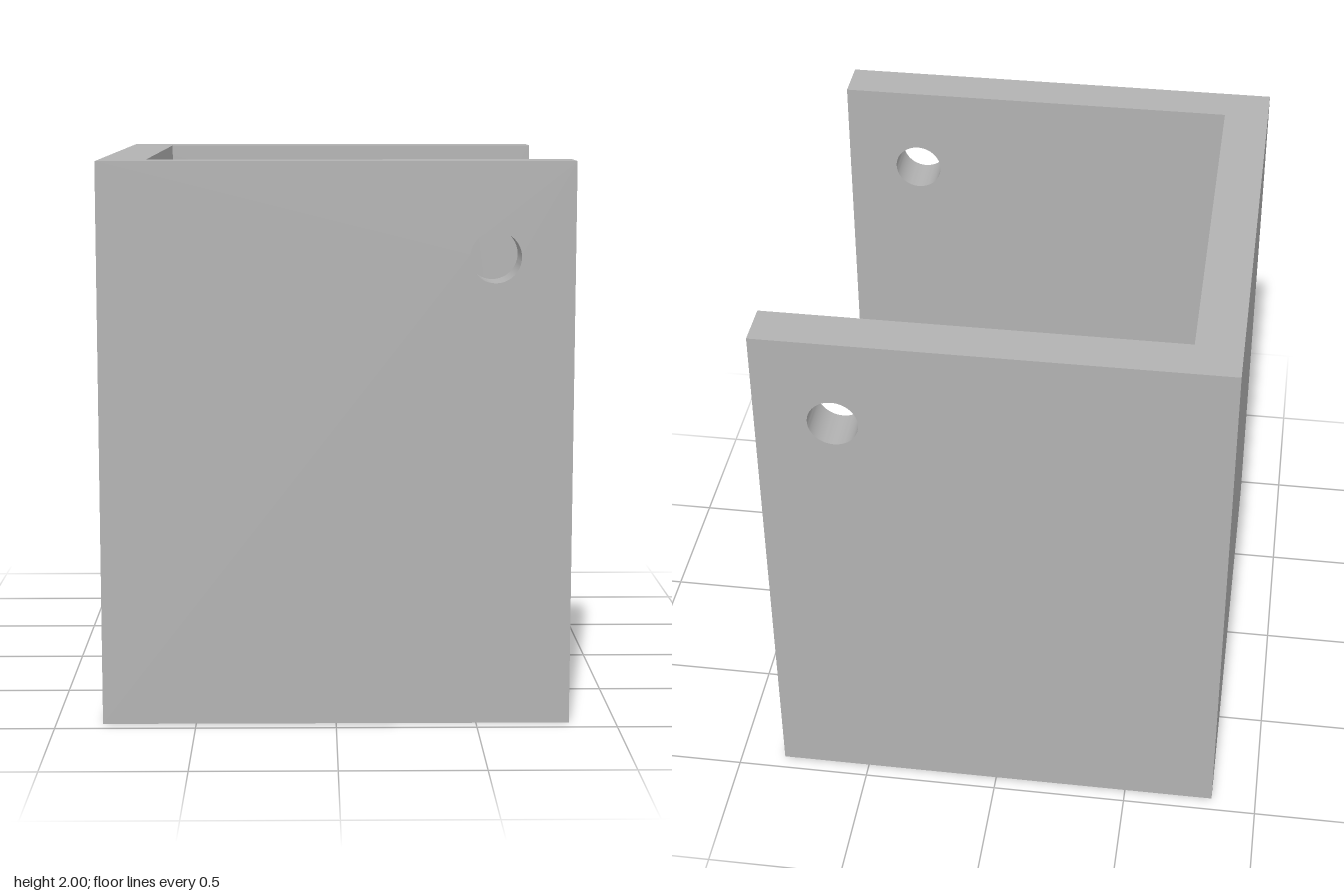
import * as THREE from 'three';
import { toCreasedNormals } from 'three/addons/utils/BufferGeometryUtils.js';

const W = 0.833, H = 2, D = 0.944, T = 0.167; // half width, height, half depth, wall thickness

// Rectangular plate with round holes [x, y, radius], extruded by the wall thickness
function plate(x0, x1, y0, y1, holes) {
  const shape = new THREE.Shape();
  shape.moveTo(x0, y0).lineTo(x1, y0).lineTo(x1, y1).lineTo(x0, y1).closePath();
  for (const [x, y, r] of holes) {
    shape.holes.push(new THREE.Path().absarc(x, y, r, 0, Math.PI * 2, true));
  }
  const geometry = new THREE.ExtrudeGeometry(shape, { depth: T, bevelEnabled: false, curveSegments: 32 });
  return toCreasedNormals(geometry, 0.6);
}

export function createModel() {
  const group = new THREE.Group();
  group.name = 'bracket';
  const grey = new THREE.MeshStandardMaterial({ color: 0xb2b2b2 });
  grey.name = 'grey';

  const add = (name, geometry) => {
    const mesh = new THREE.Mesh(geometry, grey);
    mesh.name = name;
    group.add(mesh);
    return mesh;
  };

  // Front and back cheeks, each with a pin hole
  const cheek = plate(-W, W, 0, H, [[0.555, 1.667, 0.09]]);
  add('frontCheek', cheek).position.z = D - T;
  add('backCheek', cheek).position.z = -D;

  // Solid end wall joining the cheeks
  const inner = D - T;
  add('endWall', new THREE.BoxGeometry(T, H, 2 * inner)).position.set(-W + T / 2, H / 2, 0);

  // Floor with a large centre hole and two screw holes, stopping short of the open side
  const floor = plate(-W + T, 0.605, -inner, inner, [
    [-0.058, 0, 0.223],
    [-0.446, 0.666, 0.11],
    [-0.446, -0.666, 0.11],
  ]);
  add('floor', floor).rotation.x = -Math.PI / 2;

  return group;
}
